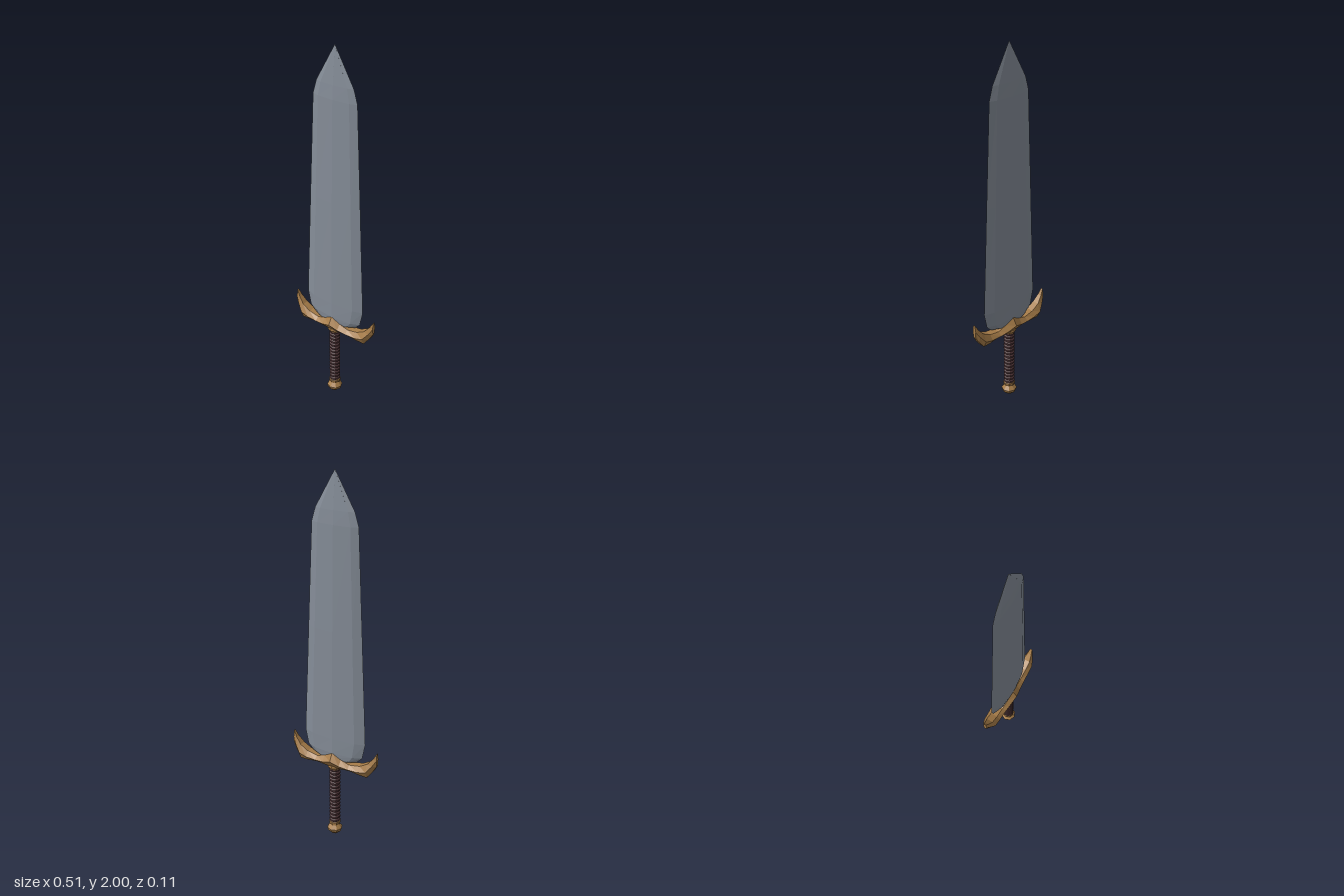
import * as THREE from 'three';

// Skin a list of rings (equal point counts, counter-clockwise about the path) and cap both ends
function loft(rings) {
  const pos = [];
  const tri = (...pts) => pts.forEach((p) => pos.push(...p));
  const n = rings[0].length;
  for (let k = 0; k < rings.length - 1; k++) {
    const a = rings[k], b = rings[k + 1];
    for (let i = 0; i < n; i++) {
      const j = (i + 1) % n;
      tri(a[i], a[j], b[j]);
      tri(a[i], b[j], b[i]);
    }
  }
  const first = rings[0], last = rings[rings.length - 1];
  for (let i = 1; i < n - 1; i++) {
    tri(first[0], first[i + 1], first[i]);
    tri(last[0], last[i], last[i + 1]);
  }
  const geo = new THREE.BufferGeometry();
  geo.setAttribute('position', new THREE.Float32BufferAttribute(pos, 3));
  geo.computeVertexNormals();
  return geo;
}

export function createModel() {
  const group = new THREE.Group();
  const material = (name, color) => {
    const m = new THREE.MeshStandardMaterial({ color, flatShading: true });
    m.name = name;
    return m;
  };
  const steel = material('steel', 0x868e99);
  const bronze = material('bronze', 0xa67c48);
  const leather = material('leather', 0x5a3d40);

  const add = (name, geo, mat) => {
    const mesh = new THREE.Mesh(geo, mat);
    mesh.name = name;
    group.add(mesh);
  };
  const turned = (name, profile, sides, mat) =>
    add(name, new THREE.LatheGeometry(profile.map(([r, y]) => new THREE.Vector2(r, y)), sides), mat);

  // Blade: eight-sided sections with a central ridge [y, half width, half thickness]
  const bladeSections = [
    [0.47, 0.09, 0.026], [0.485, 0.135, 0.029], [0.515, 0.165, 0.031],
    [0.6, 0.183, 0.031], [1.2, 0.156, 0.026], [1.74, 0.131, 0.02],
    [1.81, 0.11, 0.016], [2.0, 0.0005, 0.0005],
  ];
  add('blade', loft(bladeSections.map(([y, w, t]) => [
    [w, y, 0], [w * 0.7, y, -t * 0.66], [0, y, -t], [-w * 0.7, y, -t * 0.66],
    [-w, y, 0], [-w * 0.7, y, t * 0.66], [0, y, t], [w * 0.7, y, t * 0.66],
  ])), steel);

  // Crossguard: half sections [x, bottom y, top y, half depth], mirrored
  const half = [
    [0, 0.43, 0.52, 0.055], [0.05, 0.43, 0.485, 0.048], [0.1, 0.432, 0.468, 0.042],
    [0.16, 0.424, 0.478, 0.039], [0.205, 0.423, 0.503, 0.037], [0.235, 0.463, 0.538, 0.023],
    [0.255, 0.497, 0.572, 0.011],
  ];
  const guard = [
    ...half.slice(1).reverse().map(([x, ...rest]) => [-x, ...rest]),
    ...half,
  ];
  add('crossguard', loft(guard.map(([x, lo, hi, d]) => {
    const mid = lo + (hi - lo) * 0.48;
    return [
      [x, hi, -d * 0.5], [x, hi, d * 0.5], [x, mid, d],
      [x, lo, d * 0.5], [x, lo, -d * 0.5], [x, mid, -d],
    ];
  })), bronze);

  // Collar under the guard
  turned('collar', [[0.001, 0.412], [0.031, 0.412], [0.038, 0.424], [0.036, 0.438], [0.001, 0.438]], 8, bronze);

  // Grip wrapped in ribs
  const grip = [[0.001, 0.08]];
  const ribs = 16, pitch = 0.34 / ribs;
  for (let i = 0; i < ribs; i++) {
    const y = 0.08 + i * pitch;
    grip.push([0.025, y], [0.03, y + pitch * 0.3], [0.03, y + pitch * 0.7]);
  }
  grip.push([0.025, 0.42], [0.001, 0.42]);
  turned('grip', grip, 10, leather);

  // Pommel knob with its neck ring
  turned('pommel', [
    [0.001, 0], [0.018, 0.003], [0.038, 0.022], [0.042, 0.038], [0.025, 0.058],
    [0.024, 0.064], [0.032, 0.068], [0.032, 0.08], [0.026, 0.085], [0.001, 0.085],
  ], 8, bronze);

  return group;
}
